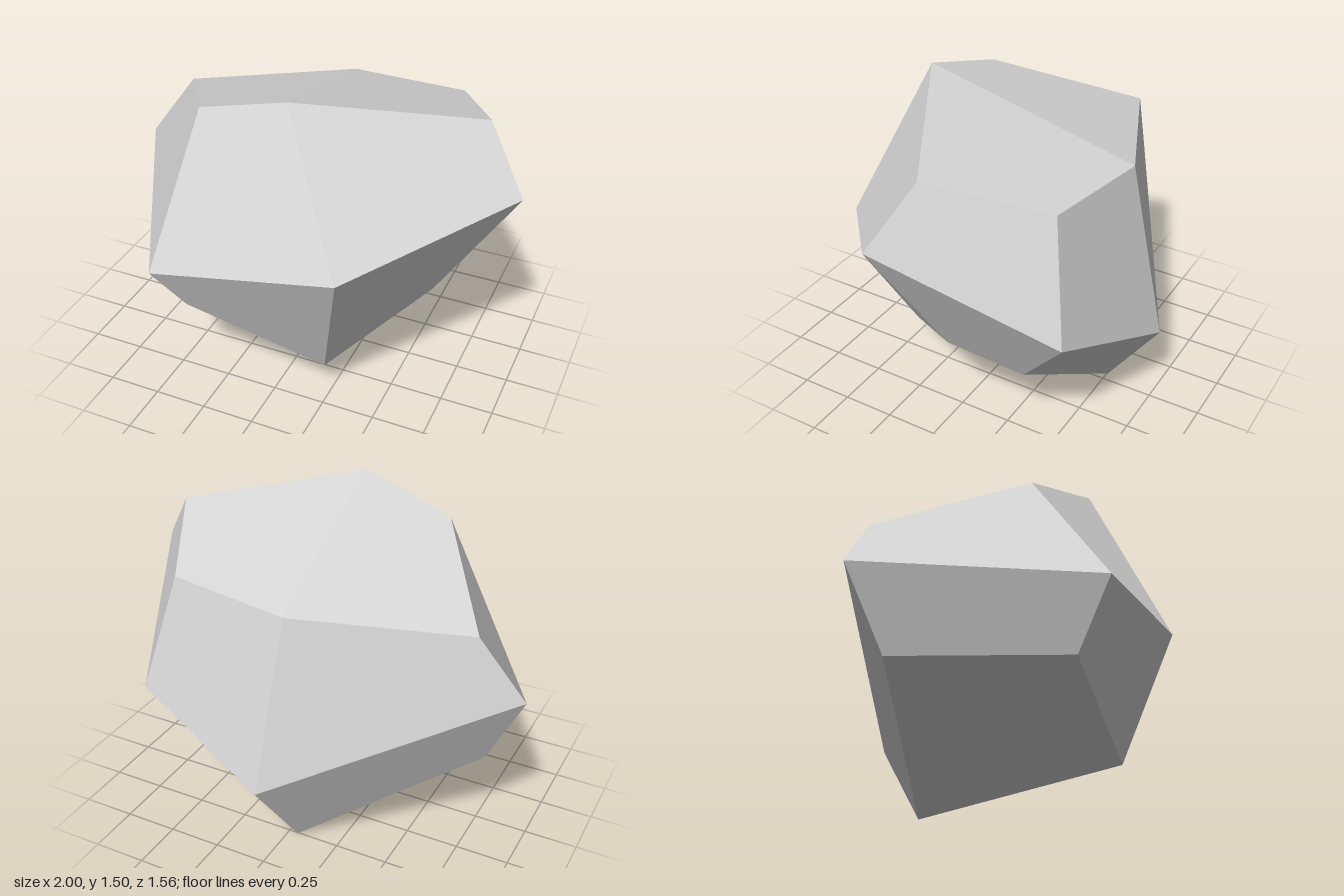
import * as THREE from 'three';

// Faceted stone: three irregular six-cornered rings, each corner [x, y, z].
const crown = [
  [0.05, 1.5, 0.41], [0.8, 1.37, -0.02], [0.54, 1.23, -0.51],
  [-0.04, 1.2, -0.58], [-0.79, 1.14, -0.26], [-0.4, 1.36, 0.36],
];
const girdle = [
  [0.37, 0.82, 0.66], [1, 1.1, 0.12], [0.68, 0.68, -0.62],
  [0.01, 0.4, -0.78], [-1, 0.84, -0.2], [-0.46, 0.73, 0.78],
];
const base = [
  [0.23, 0.17, 0.435], [0.6, 0.43, 0], [0.56, 0.37, -0.37],
  [-0.045, 0, -0.505], [-0.81, 0.45, -0.12], [-0.405, 0.435, 0.58],
];

// Four-cornered facets, each lit as one flat plane and folded from its second to its fourth corner.
function facetGeometry(facets) {
  const positions = [];
  const normals = [];
  for (const facet of facets) {
    const [a, b, c, d] = facet.map((p) => new THREE.Vector3(...p));
    const normal = c.clone().sub(a).cross(d.clone().sub(b)).normalize();
    for (const corner of [a, b, d, b, c, d]) {
      positions.push(...corner.toArray());
      normals.push(...normal.toArray());
    }
  }
  const geometry = new THREE.BufferGeometry();
  geometry.setAttribute('position', new THREE.Float32BufferAttribute(positions, 3));
  geometry.setAttribute('normal', new THREE.Float32BufferAttribute(normals, 3));
  return geometry;
}

export function createModel() {
  const group = new THREE.Group();
  group.name = 'rock';

  const stoneGrey = new THREE.MeshStandardMaterial({ color: 0xd6d6d6 });
  stoneGrey.name = 'pale stone grey';

  // Top plane and ridged underside, two facets each
  const facets = [
    [crown[0], crown[1], crown[2], crown[3]],
    [crown[3], crown[4], crown[5], crown[0]],
    [base[3], base[2], base[1], base[0]],
    [base[0], base[5], base[4], base[3]],
  ];
  // Upper and lower flanks around the girdle
  for (let i = 0; i < 6; i++) {
    const j = (i + 1) % 6;
    facets.push([girdle[i], girdle[j], crown[j], crown[i]]);
    facets.push([girdle[i], base[i], base[j], girdle[j]]);
  }

  const stone = new THREE.Mesh(facetGeometry(facets), stoneGrey);
  stone.name = 'stone';
  group.add(stone);

  return group;
}
